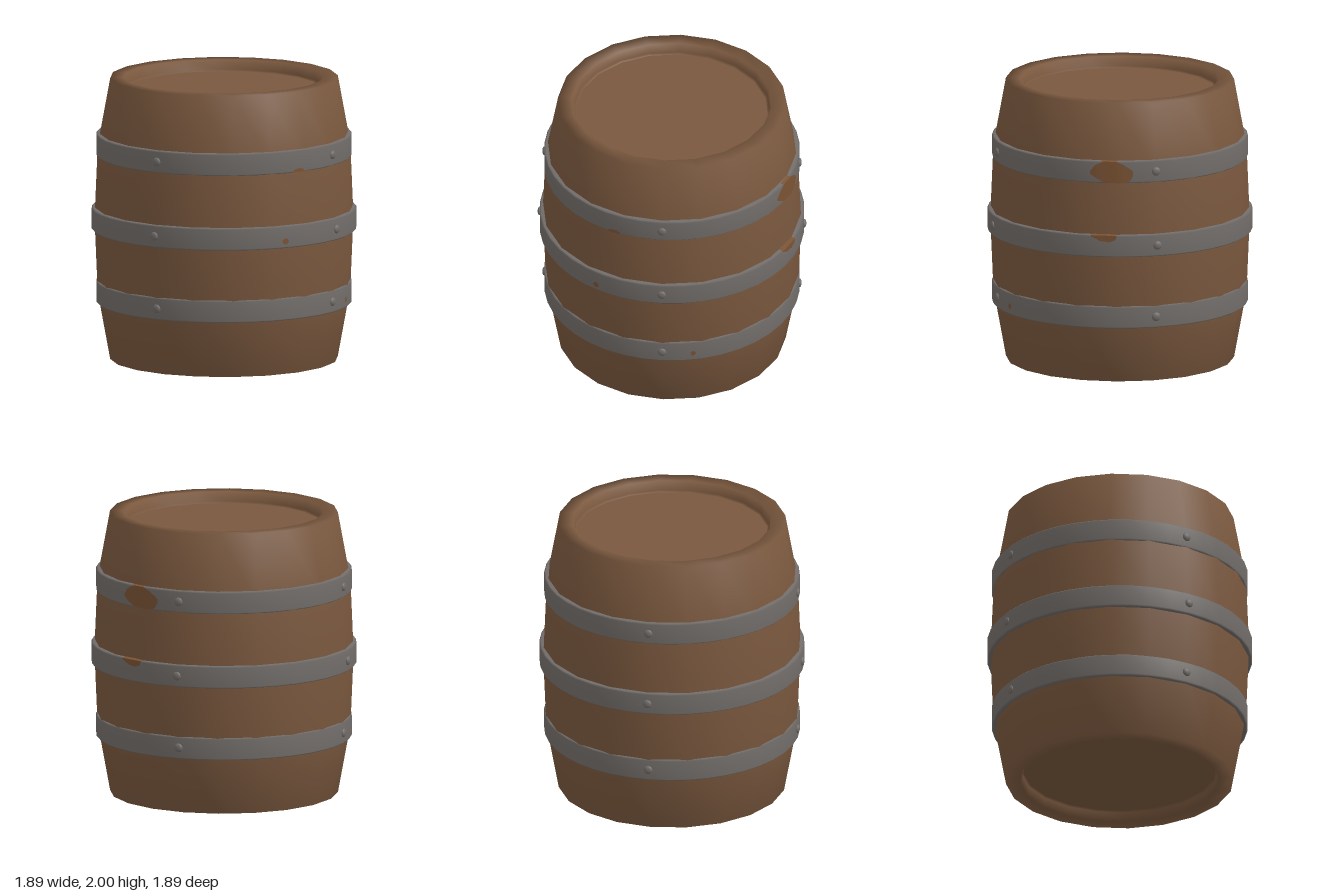
import * as THREE from 'three';

const STAVE_SIDES = 20;
const HOOP_SIDES = 40;
const wood = new THREE.MeshStandardMaterial({ name: 'wood', color: 0x7a583e });
const metal = new THREE.MeshStandardMaterial({ name: 'iron', color: 0x726d6a });
const rust = new THREE.MeshStandardMaterial({ name: 'rust', color: 0x7b5334 });

const lathe = (pts, sides) => new THREE.LatheGeometry(pts.map(([r, y]) => new THREE.Vector2(r, y)), sides);

function addMesh(parent, name, geometry, material) {
  const mesh = new THREE.Mesh(geometry, material);
  mesh.name = name;
  parent.add(mesh);
  return mesh;
}

// Strip lying on a faceted hoop; each column is [degrees, low height, high height]
function rustPatch(parent, lowRadius, highRadius, columns) {
  const step = (2 * Math.PI) / HOOP_SIDES;
  const positions = [];
  const index = [];
  columns.forEach(([degrees, low, high], i) => {
    const a = THREE.MathUtils.degToRad(degrees);
    const off = a - (Math.floor(a / step + 1e-6) + 0.5) * step;
    const facet = Math.cos(step / 2) / Math.cos(off);
    for (const [r, y] of [[lowRadius, low], [highRadius, high]]) {
      positions.push(r * facet * Math.sin(a), y, r * facet * Math.cos(a));
    }
    const k = 2 * i;
    if (i > 0) index.push(k - 2, k, k - 1, k, k + 1, k - 1);
  });
  const geo = new THREE.BufferGeometry();
  geo.setAttribute('position', new THREE.Float32BufferAttribute(positions, 3));
  geo.setIndex(index);
  geo.computeVertexNormals();
  addMesh(parent, 'rustPatch', geo, rust);
}

// Small round spot as columns
const spot = (angle, y, w, h) => [-1, -0.6, 0, 0.6, 1].map((t) => {
  const half = h * Math.sqrt(1.02 - t * t);
  return [angle + w * t, y - half, y + half];
});

export function createModel() {
  const barrel = new THREE.Group();
  barrel.name = 'barrel';

  // Bulging staves with a rim and a recess at each end
  addMesh(barrel, 'staves', lathe([
    [0.675, 0.08], [0.69, 0.07], [0.698, 0], [0.8, 0], [0.888, 0.48], [0.91, 1],
    [0.888, 1.52], [0.8, 2], [0.698, 2], [0.69, 1.93], [0.675, 1.92],
  ], STAVE_SIDES), wood);

  // End lids
  for (const [name, y, tilt] of [['topLid', 1.92, -1], ['bottomLid', 0.08, 1]]) {
    const lid = addMesh(barrel, name, new THREE.CircleGeometry(0.677, STAVE_SIDES), wood);
    lid.rotation.x = (tilt * Math.PI) / 2;
    lid.position.y = y;
  }

  // Iron hoops, each with four rivets
  const hoops = [
    ['lowerHoop', 0.48, 0.897],
    ['middleHoop', 1, 0.93],
    ['upperHoop', 1.525, 0.897],
  ];
  const h = 0.079;
  const b = 0.01;
  const rivetGeo = new THREE.SphereGeometry(0.031, 12, 8);
  for (const [name, y, r] of hoops) {
    const hoop = new THREE.Group();
    hoop.name = name;
    addMesh(hoop, 'band', lathe([
      [r - 0.06, y - h], [r - b, y - h], [r, y - h + b],
      [r, y + h - b], [r - b, y + h], [r - 0.06, y + h],
    ], HOOP_SIDES), metal);
    for (let i = 0; i < 4; i++) {
      const a = (i * Math.PI) / 2;
      const rivet = addMesh(hoop, 'rivet', rivetGeo, metal);
      rivet.position.set(r * Math.sin(a), y, r * Math.cos(a));
      rivet.rotation.y = a;
      rivet.scale.z = 0.5;
    }
    barrel.add(hoop);
  }

  // Rust on the upper hoop: face, top edge and a small spot
  rustPatch(barrel, 0.9, 0.9, [[150, 1.51, 1.53], [152, 1.49, 1.57], [153, 1.48, 1.58],
    [156, 1.455, 1.602], [158, 1.45, 1.602], [162, 1.448, 1.602], [165, 1.448, 1.58],
    [168, 1.46, 1.55], [169.5, 1.5, 1.53]]);
  rustPatch(barrel, 0.9, 0.876, [[155, 1.602, 1.607], [158, 1.602, 1.607], [162, 1.602, 1.607]]);
  rustPatch(barrel, 0.9, 0.9, [[64.5, 1.449, 1.46], [66, 1.449, 1.472], [68.5, 1.449, 1.474],
    [70.2, 1.449, 1.466]]);
  // Rust on the middle hoop: face, top edge and a small spot
  rustPatch(barrel, 0.933, 0.933, [[151, 1.07, 1.077], [153, 1.055, 1.077], [155, 1.037, 1.077],
    [159, 1.03, 1.077], [161.5, 1.045, 1.077], [162, 1.07, 1.077]]);
  rustPatch(barrel, 0.933, 0.9, [[151, 1.077, 1.082], [153, 1.077, 1.082], [162, 1.077, 1.082]]);
  rustPatch(barrel, 0.933, 0.933, spot(59.5, 0.97, 1.5, 0.021));
  // Rust spot on the lower hoop
  rustPatch(barrel, 0.9, 0.9, spot(104, 0.463, 1.2, 0.02));

  return barrel;
}
